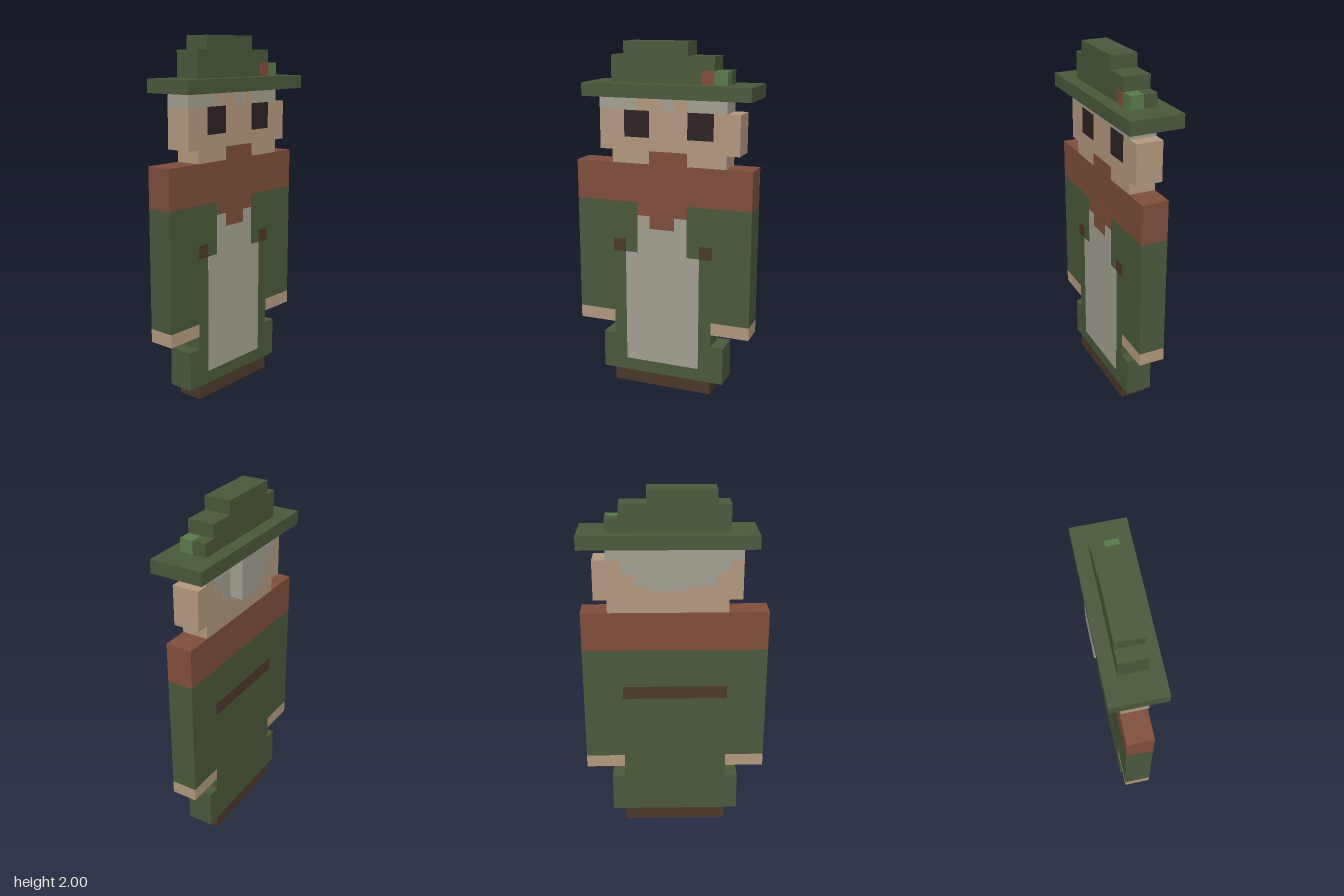
import * as THREE from 'three';

const U = 2 / 27; // size of one block
const T = 0.004; // thickness of painted plates

export function createModel() {
  const model = new THREE.Group();
  model.name = 'blockFigure';

  const mat = (name, color) => {
    const m = new THREE.MeshStandardMaterial({ color });
    m.name = name;
    return m;
  };
  const green = mat('coatGreen', 0x4a593b);
  const rust = mat('scarfRust', 0x7f4e3c);
  const skin = mat('skin', 0xb2987f);
  const grey = mat('paleGrey', 0xa39f92);
  const brown = mat('darkBrown', 0x4b382c);
  const black = mat('eyeBlack', 0x2d2323);
  const leaf = mat('leafGreen', 0x587a4c);

  // Solid block between corners given in block units
  const block = (name, m, x0, x1, y0, y1, z0 = -1, z1 = 1) => {
    const g = new THREE.BoxGeometry((x1 - x0) * U, (y1 - y0) * U, (z1 - z0) * U);
    const mesh = new THREE.Mesh(g, m);
    mesh.name = name;
    mesh.position.set((x0 + x1) * U / 2, (y0 + y1) * U / 2, (z0 + z1) * U / 2);
    model.add(mesh);
  };
  // Thin painted plate on the front (side 1) or back (side -1)
  const plate = (name, m, x0, x1, y0, y1, side = 1) => {
    const g = new THREE.BoxGeometry((x1 - x0) * U, (y1 - y0) * U, T);
    const mesh = new THREE.Mesh(g, m);
    mesh.name = name;
    mesh.position.set((x0 + x1) * U / 2, (y0 + y1) * U / 2, side * U);
    model.add(mesh);
  };

  // Body
  block('shoes', brown, -4, 4, 0, 1);
  block('coatHem', green, -5, 5, 1, 4);
  block('coatWaist', green, -4, 4, 4, 6);
  block('rightHand', skin, -7, -4, 5, 6);
  block('leftHand', skin, 4, 7, 5, 6);
  block('coat', green, -7, 7, 6, 15);
  block('scarf', rust, -7, 7, 15, 18);

  // Head
  block('chin', skin, -4, 5, 18, 19);
  block('face', skin, -5, 6, 19, 22);
  block('hair', grey, -5, 5, 22, 23);
  block('hairBun', grey, -1, 2, 20, 23, -2, -1);

  // Hat
  block('hatBrim', green, -6, 7, 23, 24, -2, 2);
  block('hatCrown', green, -4, 4, 24, 26);
  block('hatTop', green, -3, 2, 26, 27);
  block('hatFeather', leaf, 4, 5, 24, 25, 0, 1);
  block('hatFeatherBack', green, 4, 5, 24, 25, -1, 0);
  plate('hatBerry', rust, 3, 4, 24, 25);

  // Apron and scarf knot
  plate('apron', grey, -3, 3, 2, 11);
  plate('apronBibRight', grey, -2, -1, 11, 14);
  plate('apronBibLeft', grey, 1, 2, 11, 14);
  plate('apronBib', grey, -1, 1, 11, 13);
  plate('scarfKnot', rust, -2, 2, 14, 15);
  plate('scarfTip', rust, -1, 1, 13, 14);
  plate('scarfTop', rust, -1, 2, 18, 19);

  // Buttons and back belt
  plate('rightButton', brown, -4, -3, 11, 12);
  plate('leftButton', brown, 3, 4, 11, 12);
  plate('backBelt', brown, -4, 4, 11, 12, -1);

  // Face details: eyes and forehead showing through the fringe
  plate('rightEye', black, -3, -1, 20, 22);
  plate('leftEye', black, 2, 4, 20, 22);
  plate('foreheadRight', skin, -2, 0, 22, 23);
  plate('foreheadLeft', skin, 1, 2, 22, 23);

  // Stepped hair on the back of the head
  plate('backHairUpper', grey, -4, 4, 21, 22, -1);
  plate('backHairLower', grey, -3, 3, 20, 21, -1);

  return model;
}
